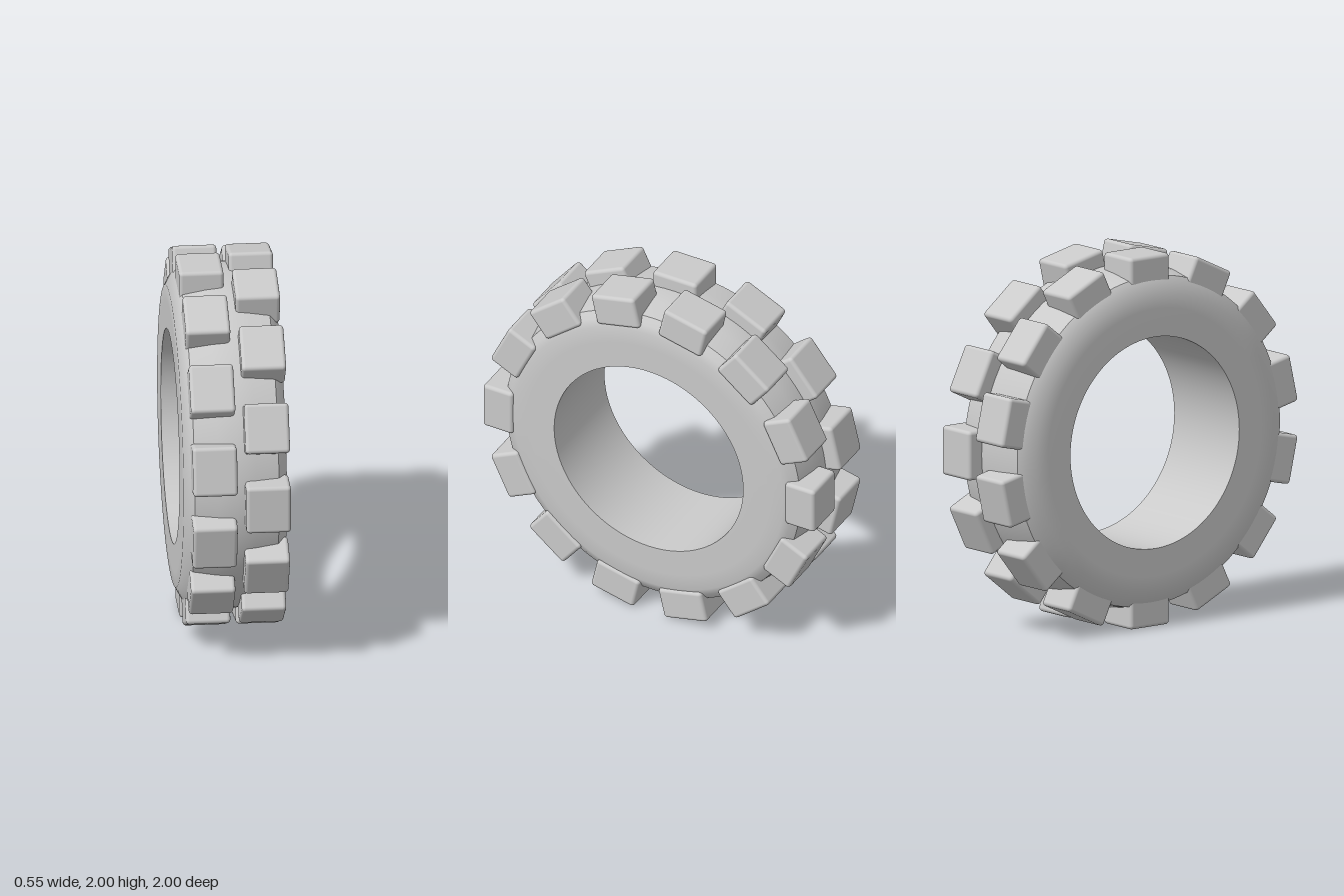
import * as THREE from 'three';
import { RoundedBoxGeometry } from 'three/addons/geometries/RoundedBoxGeometry.js';

const LUGS = 14;
const AXLE_HEIGHT = 1;

export function createModel() {
  const tire = new THREE.Group();
  tire.name = 'tire';
  const rubber = new THREE.MeshStandardMaterial({ color: 0xcacaca });
  rubber.name = 'light grey rubber';

  // Surface of revolution about the x axle; points are [radius, x]
  const ring = (name, points) => {
    const geometry = new THREE.LatheGeometry(points.map(([r, x]) => new THREE.Vector2(r, x)), 96);
    geometry.rotateZ(-Math.PI / 2);
    const mesh = new THREE.Mesh(geometry, rubber);
    mesh.name = name;
    mesh.position.y = AXLE_HEIGHT;
    tire.add(mesh);
  };

  // Carcass, split at its sharp edges
  ring('rightSidewall', [[0.57, -0.278], [0.72, -0.278], [0.8, -0.277], [0.865, -0.242], [0.887, -0.225]]);
  ring('treadBase', [[0.887, -0.225], [0.91, -0.1], [0.92, 0], [0.91, 0.1], [0.887, 0.222]]);
  ring('leftSidewall', [[0.887, 0.222], [0.85, 0.25], [0.81, 0.27], [0.72, 0.272], [0.57, 0.272]]);
  ring('bore', [[0.57, 0.272], [0.57, -0.278]]);

  // Two rows of tread lugs, staggered by half a step
  const lug = new RoundedBoxGeometry(0.236, 0.18, 0.265, 3, 0.02);
  const addRow = (name, x, offset) => {
    const row = new THREE.Group();
    row.name = name;
    row.position.y = AXLE_HEIGHT;
    for (let i = 0; i < LUGS; i++) {
      const pivot = new THREE.Group();
      pivot.rotation.x = ((i + offset) / LUGS) * Math.PI * 2;
      const mesh = new THREE.Mesh(lug, rubber);
      mesh.name = 'treadLug';
      mesh.position.set(x, 0.91, 0);
      pivot.add(mesh);
      row.add(pivot);
    }
    tire.add(row);
  };
  addRow('rightLugRow', -0.123, 0);
  addRow('leftLugRow', 0.158, 0.5);

  return tire;
}
